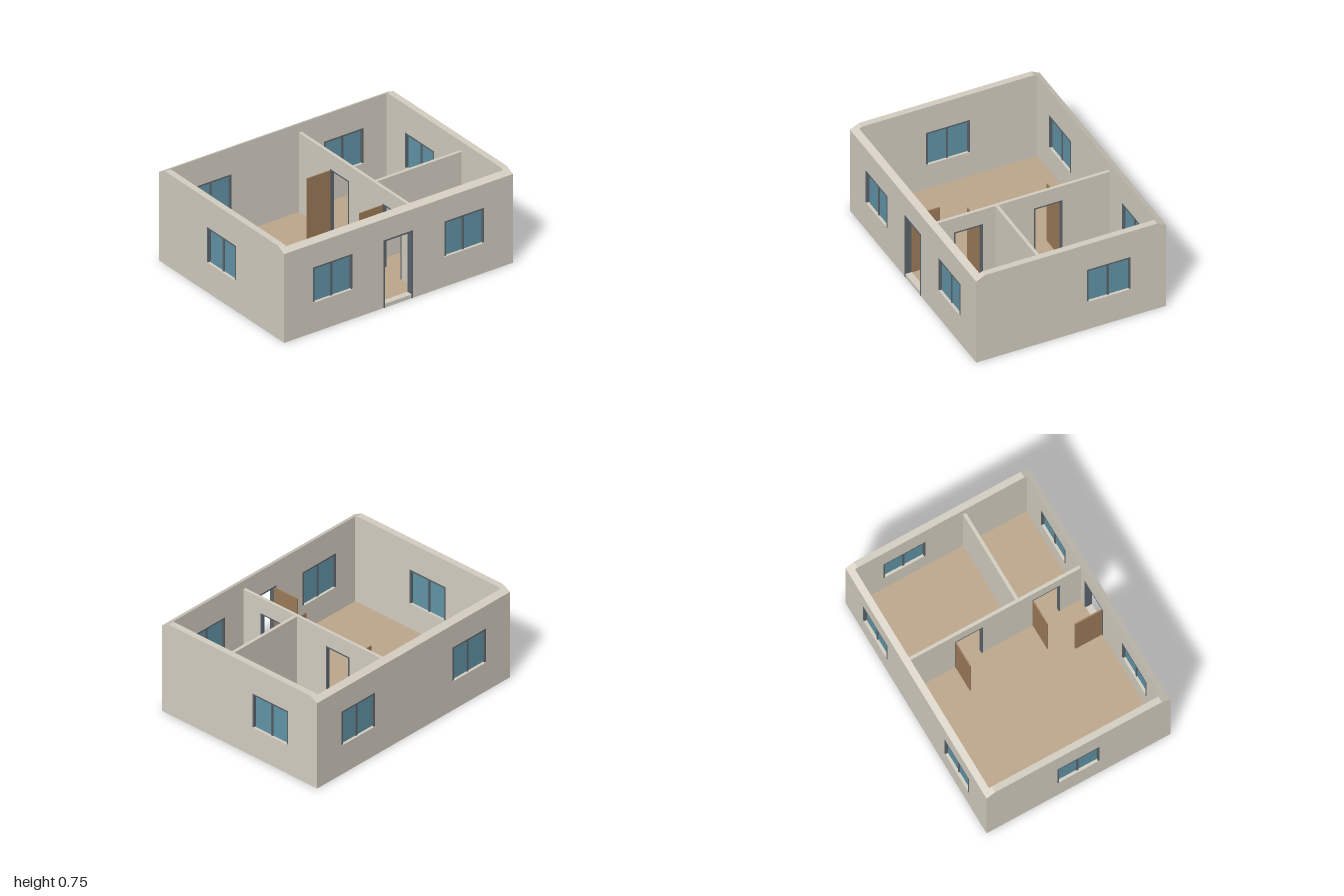
import * as THREE from 'three';

const mat = (name, color) => {
  const m = new THREE.MeshStandardMaterial({ color });
  m.name = name;
  return m;
};

export function createModel() {
  const plaster = mat('plaster', 0xd5cfc2);
  const floorTan = mat('floorTan', 0xbda88b);
  const frameGrey = mat('frameGrey', 0x5c666e);
  const glassBlue = mat('glassBlue', 0x6295a8);
  const wood = mat('wood', 0x9d7b59);

  const house = new THREE.Group();
  house.name = 'house';

  // box given by its limits on each axis
  const box = (parent, name, material, [x0, x1], [y0, y1], [z0, z1]) => {
    const mesh = new THREE.Mesh(new THREE.BoxGeometry(x1 - x0, y1 - y0, z1 - z0), material);
    mesh.position.set((x0 + x1) / 2, (y0 + y1) / 2, (z0 + z1) / 2);
    mesh.name = name;
    parent.add(mesh);
    return mesh;
  };

  // group whose local +z is the outward side of a wall
  const side = (name, turn) => {
    const g = new THREE.Group();
    g.name = name;
    g.rotation.y = turn;
    house.add(g);
    return g;
  };

  // upright panel with rectangular openings [x0, x1, y0, y1]
  const panel = (parent, name, outline, openings, z, depth) => {
    const shape = new THREE.Shape(outline.map(([x, y]) => new THREE.Vector2(x, y)));
    for (const [x0, x1, y0, y1] of openings) {
      shape.holes.push(new THREE.Path([[x0, y0], [x0, y1], [x1, y1], [x1, y0]]
        .map(([x, y]) => new THREE.Vector2(x, y))));
    }
    const mesh = new THREE.Mesh(
      new THREE.ExtrudeGeometry(shape, { depth, bevelEnabled: false }), plaster);
    mesh.position.z = z;
    mesh.name = name;
    parent.add(mesh);
    return mesh;
  };

  // jambs and head lining an opening
  const surround = (parent, [x0, x1, y0, y1], w, z) => {
    box(parent, 'jamb', frameGrey, [x0, x0 + w], [y0, y1], z);
    box(parent, 'jamb', frameGrey, [x1 - w, x1], [y0, y1], z);
    box(parent, 'head', frameGrey, [x0 + w, x1 - w], [y1 - w, y1], z);
  };

  // two-pane window; z is the inner face of the wall
  const WIN = { half: 0.172, y0: 0.24, y1: 0.525 };
  const windowHole = (x) => [x - WIN.half, x + WIN.half, WIN.y0, WIN.y1];
  const addWindow = (parent, x, z) => {
    const g = new THREE.Group();
    g.name = 'window';
    g.position.set(x, 0, z);
    parent.add(g);
    const { half, y0, y1 } = WIN;
    surround(g, [-half, half, y0 + 0.006, y1], 0.012, [-0.002, 0.051]);
    box(g, 'mullion', frameGrey, [-0.007, 0.007], [y0, y1 - 0.012], [0.012, 0.036]);
    for (const s of [-1, 1]) {
      const a = s * 0.007, b = s * (half - 0.012);
      box(g, 'glassPane', glassBlue, [Math.min(a, b), Math.max(a, b)],
        [y0, y1 - 0.012], [0.02, 0.028]);
    }
  };

  // floor slab
  box(house, 'floor', floorTan, [-0.95, 0.95], [0, 0.03], [-0.7, 0.7]);

  // front and back walls, tops sloping outwards
  const rect = [[-0.95, 0], [0.95, 0], [0.95, 0.74], [-0.95, 0.74]];
  const doorHole = [-0.133, 0.127, 0.03, 0.545];
  for (const [name, turn, extra] of [['frontWall', 0, [doorHole]], ['backWall', Math.PI, []]]) {
    const g = side(name + 'Side', turn);
    const xs = [-0.576, 0.576];
    const wall = panel(g, name, rect, [...xs.map(windowHole), ...extra], 0.7, 0.05);
    const p = wall.geometry.attributes.position;
    for (let i = 0; i < p.count; i++) {
      if (p.getY(i) > 0.73 && p.getZ(i) > 0.025) p.setY(i, 0.715);
    }
    wall.geometry.computeVertexNormals();
    xs.forEach((x) => addWindow(g, x, 0.7));
  }

  // side walls with clipped upper corners
  const gable = [[-0.75, 0], [0.75, 0], [0.75, 0.715], [0.68, 0.75], [-0.68, 0.75], [-0.75, 0.715]];
  for (const [name, turn, x] of [['leftWall', Math.PI / 2, 0.298], ['rightWall', -Math.PI / 2, 0]]) {
    const g = side(name + 'Side', turn);
    panel(g, name, gable, [windowHole(x)], 0.95, 0.05);
    addWindow(g, x, 0.95);
  }

  // partitions
  const inner = side('longPartitionSide', Math.PI / 2);
  const roomDoors = [[-0.53, -0.305, 0.028, 0.545], [0.1, 0.325, 0.028, 0.545]];
  panel(inner, 'longPartition', [[-0.7, 0.01], [0.7, 0.01], [0.7, 0.67], [-0.7, 0.67]],
    roomDoors, 0.185, 0.025);
  box(house, 'crossPartition', plaster, [0.21, 0.95], [0.01, 0.67], [0.18, 0.205]);

  // room door surrounds and open leaves
  for (const hole of roomDoors) surround(inner, hole, 0.01, [0.183, 0.212]);
  for (const z of [0.31, -0.32]) {
    box(house, 'roomDoor', wood, [-0.022, 0.184], [0.035, 0.535], [z - 0.004, z + 0.004]);
  }

  // entrance surround and open leaf
  surround(house, [-0.133, 0.127, 0, 0.545], 0.012, [0.698, 0.752]);
  box(house, 'entranceDoor', wood, [-0.122, -0.111], [0.035, 0.533], [0.48, 0.7]);

  return house;
}
